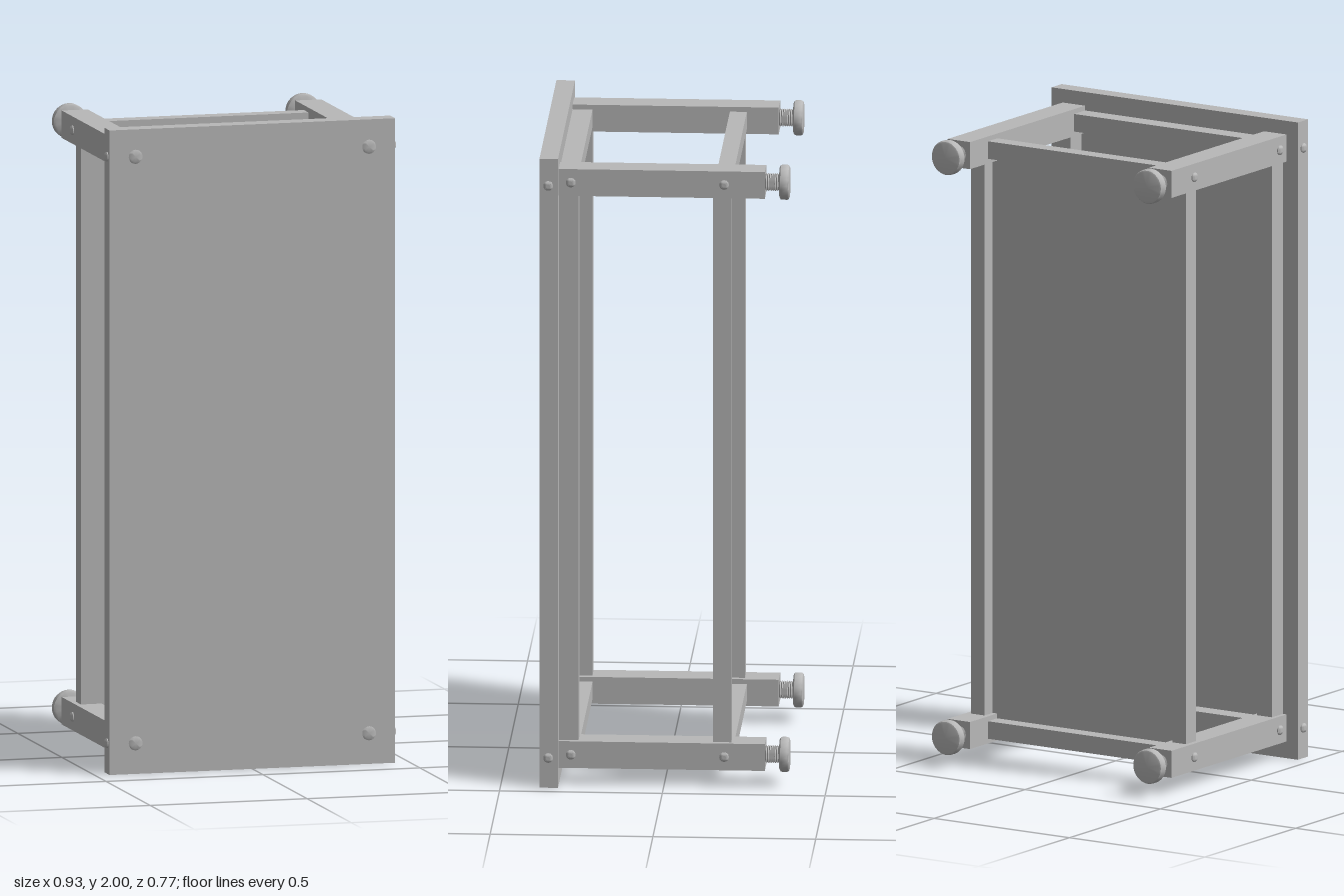
import * as THREE from 'three';
import { toCreasedNormals } from 'three/addons/utils/BufferGeometryUtils.js';

const LEG_X = 0.372; // leg centre lines
const LEG_Y = [0.095, 1.915];

export function createModel() {
  const model = new THREE.Group();
  model.name = 'tableOnItsSide';
  const grey = new THREE.MeshStandardMaterial({ color: 0xb8b8b8 });
  grey.name = 'plain grey';

  const add = (name, geometry, x = 0, y = 0, z = 0, parent = model) => {
    const mesh = new THREE.Mesh(geometry, grey);
    mesh.name = name;
    mesh.position.set(x, y, z);
    parent.add(mesh);
    return mesh;
  };
  // Box given by its lower and upper limits
  const bar = (name, [x0, x1], [y0, y1], [z0, z1]) =>
    add(name, new THREE.BoxGeometry(x1 - x0, y1 - y0, z1 - z0), (x0 + x1) / 2, (y0 + y1) / 2, (z0 + z1) / 2);
  const around = (c, size) => [c - size / 2, c + size / 2];
  const lathe = (points, segments) => toCreasedNormals(
    new THREE.LatheGeometry(points.map(([r, h]) => new THREE.Vector2(r, h)), segments), 0.6);

  // Domed screw head, levelling foot disc and threaded stem, all along +y
  const screwGeo = lathe([[0.015, 0], [0.015, 0.003], [0.011, 0.007], [0.006, 0.009], [0, 0.009]], 16);
  const flatScrewGeo = lathe([[0.022, 0], [0.016, 0.003], [0, 0.004]], 20);
  const discGeo = lathe([[0, 0], [0.046, 0], [0.053, 0.004], [0.054, 0.008], [0.054, 0.024],
    [0.051, 0.029], [0.046, 0.031], [0, 0.031]], 32);
  const thread = [];
  for (let i = 0; i <= 16; i++) thread.push([i % 2 ? 0.028 : 0.024, i * 0.0028]);
  const stemGeo = lathe(thread, 24);

  // Table top and shelf panel
  bar('tableTop', [-0.455, 0.455], [0, 2], [0.323, 0.38]);
  bar('shelfPanel', [-0.35, 0.35], [0.1, 1.91], [-0.161, -0.153]);

  for (const y of LEG_Y) {
    // Short rails joining each pair of legs
    bar('topEndRail', [-0.335, 0.335], around(y, 0.055), [0.262, 0.323]);
    bar('shelfEndRail', [-0.335, 0.335], around(y, 0.055), [-0.212, -0.16]);

    for (const s of [-1, 1]) {
      const x = s * LEG_X;
      bar('leg', around(x, 0.083), around(y, 0.085), [-0.31, 0.323]);

      // Levelling foot
      const foot = new THREE.Group();
      foot.name = 'levellingFoot';
      foot.position.set(x, y, -0.31);
      foot.rotation.x = -Math.PI / 2;
      model.add(foot);
      add('threadedStem', stemGeo, 0, 0, 0, foot);
      add('footDisc', discGeo, 0, 0.0435, 0, foot);

      // Screw heads on the sides and on the top surface
      for (const [edge, z] of [[0.455, 0.353], [0.4135, 0.286], [0.4135, -0.185]]) {
        add('sideScrew', screwGeo, s * edge, y, z).rotation.z = -s * Math.PI / 2;
      }
      add('topScrew', flatScrewGeo, x, y, 0.38).rotation.x = Math.PI / 2;
    }
  }

  // Long rails between the leg pairs
  for (const s of [-1, 1]) {
    bar('topLongRail', around(s * LEG_X, 0.055), [0.13, 1.88], [0.263, 0.323]);
    bar('shelfLongRail', around(s * LEG_X, 0.05), [0.13, 1.88], [-0.206, -0.15]);
  }
  return model;
}
